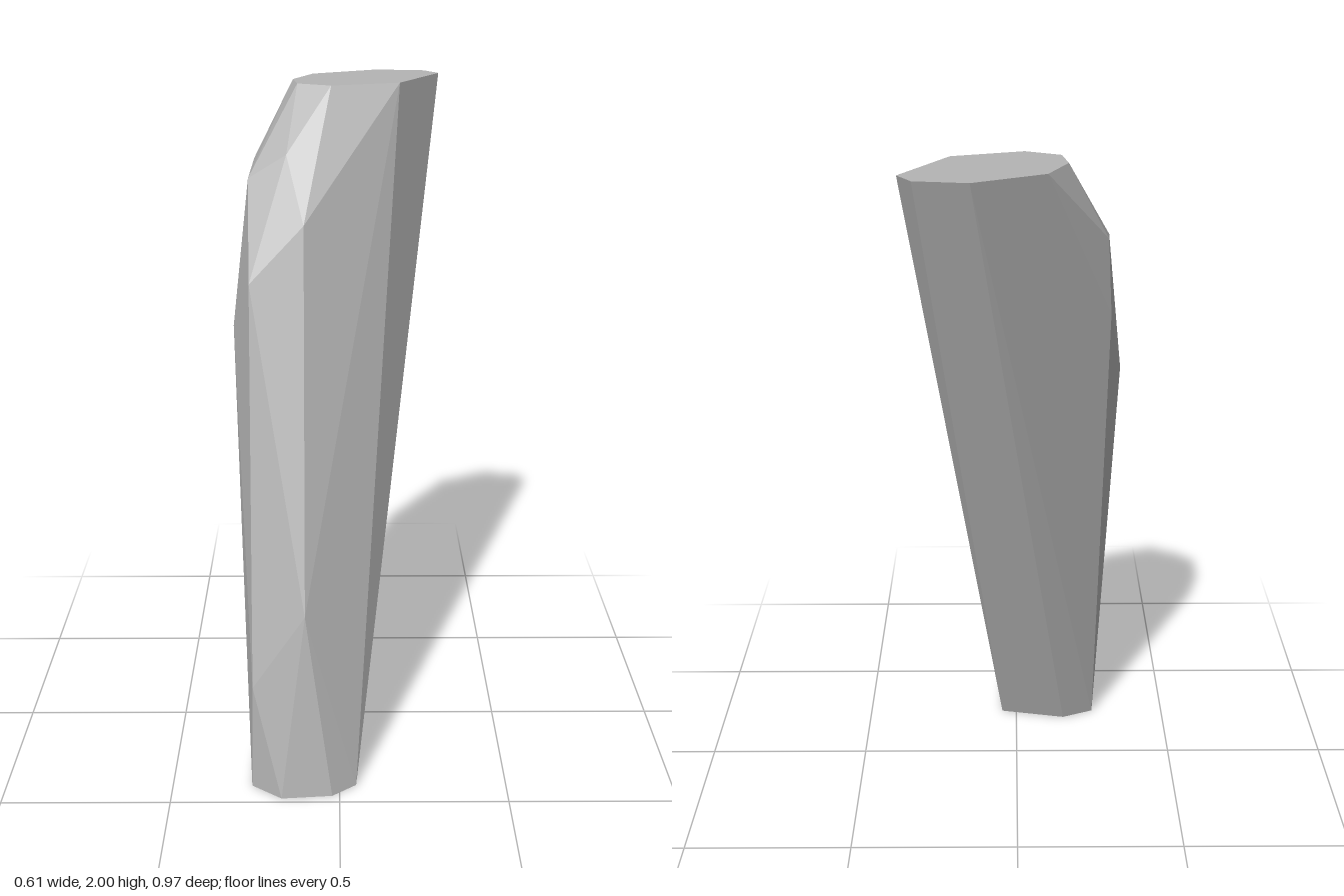
import * as THREE from 'three';
import { ConvexGeometry } from 'three/addons/geometries/ConvexGeometry.js';

const stone = new THREE.MeshStandardMaterial({ color: 0xb4b4b4 });
stone.name = 'stoneGrey';

// Places a flat outline of [x, z] corners at one height
const ring = (y, corners) => corners.map(([x, z]) => new THREE.Vector3(x, y, z));

export function createModel() {
  const group = new THREE.Group();
  group.name = 'leaningStone';

  // Cut-off foot
  const foot = ring(0, [
    [-0.262, 0.415], [-0.172, 0.482], [-0.022, 0.469], [0.05, 0.413],
    [0.048, 0.24], [-0.16, 0.2], [-0.26, 0.24],
  ]);

  // Cut-off head
  const head = ring(2, [
    [0.118, -0.485], [0.264, -0.463], [0.305, -0.397], [0.178, -0.165],
    [-0.022, -0.1], [-0.12, -0.149], [-0.135, -0.25], [-0.078, -0.381],
  ]);

  // Corners of the chipped facets on the front and the right flank
  const chips = [
    [-0.1, 0.56, 0.405], [-0.1, 1.64, 0.115], [-0.15, 1.82, 0],
    [-0.255, 0.33, 0.407], [-0.256, 1.48, 0.15], [-0.261, 1.75, -0.016],
    [-0.308, 1.33, 0.046], [-0.263, 1.56, -0.163], [-0.25, 1.78, -0.182],
  ].map((p) => new THREE.Vector3(...p));

  // One faceted convex solid
  const shaft = new THREE.Mesh(new ConvexGeometry([...foot, ...head, ...chips]), stone);
  shaft.name = 'facetedShaft';
  group.add(shaft);
  return group;
}
